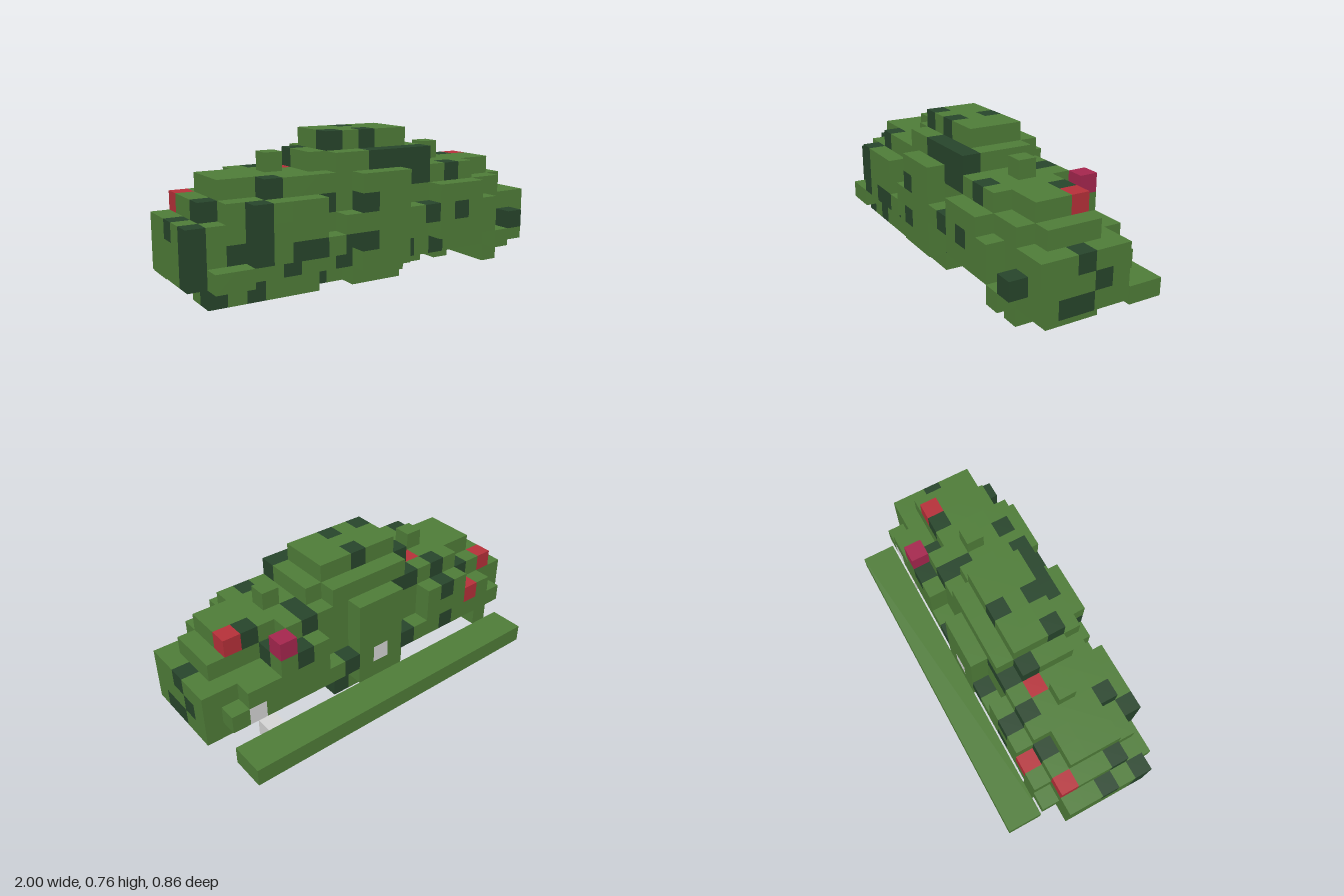
import * as THREE from 'three';
import { mergeGeometries } from 'three/addons/utils/BufferGeometryUtils.js';

const U = 2 / 21;            // size of one block
const NX = 21, NY = 8, NZ = 9;

const material = (name, color) => {
  const m = new THREE.MeshStandardMaterial({ color });
  m.name = name;
  return m;
};

// Six unit faces of a block with their outward directions
const FACES = [
  [0, 0, 1, 'Y', 0], [0, 0, -1, 'Y', Math.PI], [1, 0, 0, 'Y', Math.PI / 2],
  [-1, 0, 0, 'Y', -Math.PI / 2], [0, 1, 0, 'X', -Math.PI / 2], [0, -1, 0, 'X', Math.PI / 2],
].map(([x, y, z, axis, angle]) => {
  const face = new THREE.PlaneGeometry(U, U).translate(0, 0, U / 2);
  return { x, y, z, face: axis === 'Y' ? face.rotateY(angle) : face.rotateX(angle) };
});

export function createModel() {
  const group = new THREE.Group();
  group.name = 'hedge';
  const green = material('leaf green', 0x507e39);
  const mats = {
    foliage: green,
    darkLeaves: material('dark leaf green', 0x28462c),
    redFlowers: material('red', 0xb8313a),
    pinkFlower: material('magenta', 0xa7274f),
    paleStones: material('light grey', 0xd8d8d8),
  };

  const cells = new Map();
  const key = (i, j, k) => `${i},${j},${k}`;
  // Fill an inclusive range of blocks: x, y, z
  const fill = (i0, i1, j0, j1, k0, k1) => {
    for (let i = i0; i <= i1; i++)
      for (let j = j0; j <= j1; j++)
        for (let k = k0; k <= k1; k++) cells.set(key(i, j, k), 'foliage');
  };

  // Stepped main mass
  fill(0, 20, 1, 3, 3, 7);
  fill(1, 19, 4, 4, 4, 6);
  fill(1, 16, 4, 4, 3, 3);
  fill(2, 18, 4, 4, 7, 7);
  fill(2, 18, 5, 5, 4, 6);
  fill(4, 15, 5, 5, 3, 3);
  fill(4, 16, 5, 5, 7, 7);
  fill(7, 13, 6, 6, 4, 6);
  fill(8, 12, 6, 6, 3, 7);
  fill(13, 13, 6, 6, 7, 7);
  fill(8, 12, 7, 7, 4, 6);

  // Bulges on the front and back
  for (const k of [2, 8]) {
    fill(9, 11, 1, 5, k, k);
    fill(4, 6, 2, 4, k, k);
    fill(14, 16, 2, 4, k, k);
    fill(3, 3, 2, 3, k, k);
    fill(17, 17, 2, 3, k, k);
  }

  // Twigs linking the front bulges
  fill(3, 3, 4, 4, 8, 8);
  fill(7, 7, 2, 2, 8, 8);
  fill(8, 8, 3, 3, 8, 8);
  fill(12, 13, 3, 3, 8, 8);
  fill(1, 2, 1, 1, 8, 8);
  fill(18, 18, 1, 1, 8, 8);
  fill(19, 19, 2, 2, 8, 8);

  // Twigs linking the back bulges
  fill(1, 19, 2, 2, 2, 2);
  fill(2, 2, 1, 3, 2, 2);
  fill(18, 18, 3, 3, 2, 2);

  // Sprigs on top
  fill(5, 5, 6, 6, 5, 5);
  fill(15, 15, 6, 6, 5, 5);

  // Lower growth touching the ground
  fill(9, 11, 0, 0, 3, 7);
  fill(8, 12, 0, 0, 3, 6);
  fill(7, 7, 0, 0, 5, 6);
  fill(13, 13, 0, 0, 5, 5);
  fill(1, 3, 0, 0, 6, 7);
  fill(4, 6, 0, 0, 7, 7);
  fill(14, 17, 0, 0, 4, 4);
  fill(14, 14, 0, 0, 5, 5);
  fill(16, 16, 0, 0, 5, 5);
  fill(18, 19, 0, 0, 4, 6);
  fill(18, 18, 0, 0, 7, 7);

  // Flowers and stones
  const put = (name, ...list) => list.forEach((c) => cells.set(key(...c), name));
  put('redFlowers', [3, 3, 2], [1, 4, 3], [6, 5, 4], [18, 5, 4]);
  put('pinkFlower', [16, 5, 2]);
  put('paleStones', [17, 0, 2], [18, 2, 2], [10, 2, 2]);

  // Darken the outermost leaf along a line of blocks
  const darken = (line) => {
    const hit = line.find((c) => cells.has(key(...c)));
    if (hit && cells.get(key(...hit)) === 'foliage') cells.set(key(...hit), 'darkLeaves');
  };
  const down = (n) => Array.from({ length: n }, (_, a) => n - 1 - a);

  // Dark patches on the front, by row from the ground up
  [[1, 3, 7, 17], [0, 5, 8, 12, 14], [0, 2, 3, 5, 6, 8, 9, 19], [0, 3, 13, 15],
    [1, 3, 7, 9], [4, 12, 13], [10, 11, 12], [8, 10]]
    .forEach((row, j) => row.forEach((i) => darken(down(NZ).map((k) => [i, j, k]))));

  // Dark patches on top, by row from back to front
  [[], [], [5, 8, 12, 15], [3, 5, 7, 14, 16], [7, 10, 14, 17], [0, 20], [1, 8, 10],
    [0, 4, 10, 11, 12, 13, 15], [3, 13, 19]]
    .forEach((row, k) => row.forEach((i) => darken(down(NY).map((j) => [i, j, k]))));

  // Dark patches on the left end, by row from the ground up
  [[3], [5, 6], [4], [5], [3], [], [7]]
    .forEach((row, j) => row.forEach((k) => darken(down(NX).map((i) => [i, j, k]))));

  // Dark patches on the back and underside
  put('darkLeaves', [8, 5, 3], [5, 2, 2], [11, 0, 5], [9, 0, 6]);

  // One mesh of exposed faces for each kind of block
  for (const [name, mat] of Object.entries(mats)) {
    const faces = [];
    for (const [id, kind] of cells) {
      if (kind !== name) continue;
      const [i, j, k] = id.split(',').map(Number);
      for (const f of FACES) {
        if (cells.has(key(i + f.x, j + f.y, k + f.z))) continue;
        faces.push(f.face.clone().translate((i - 10) * U, (j + 0.5) * U, (k - 4) * U));
      }
    }
    const mesh = new THREE.Mesh(mergeGeometries(faces), mat);
    mesh.name = name;
    group.add(mesh);
  }

  // Low border along the back
  const border = new THREE.Mesh(new THREE.BoxGeometry(19 * U, U, 2 * U), green);
  border.name = 'backBorder';
  border.position.set(0, U / 2, -3.5 * U);
  group.add(border);

  return group;
}
